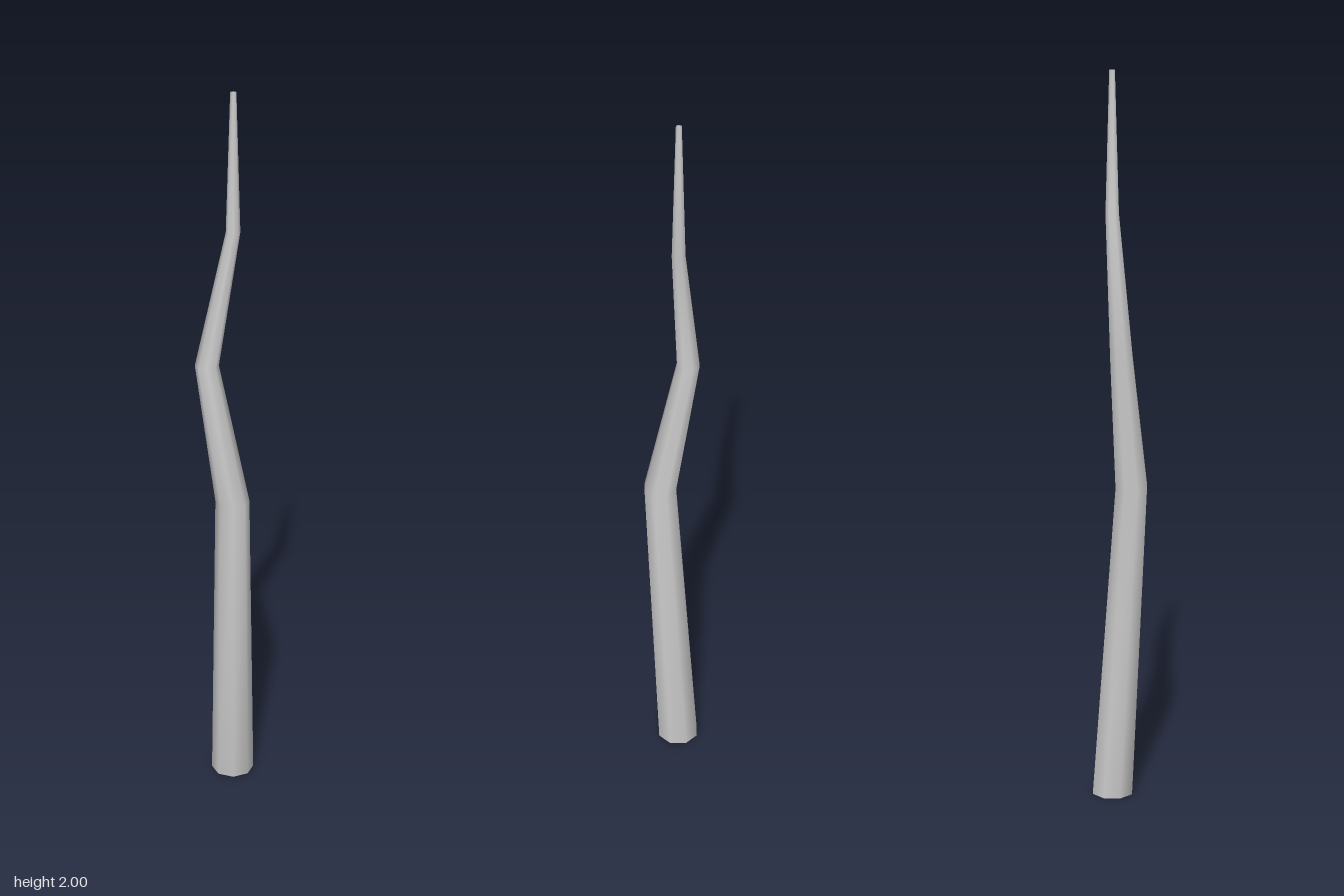
import * as THREE from 'three';

const SIDES = 8;

// Cross-sections of the crooked shaft: [x, y, z, radius]
const SECTIONS = [
  [0.021, 0, -0.021, 0.059],
  [0.018, 0.875, 0.033, 0.046],
  [-0.049, 1.25, -0.021, 0.032],
  [0.02, 1.625, -0.021, 0.019],
  [0.02, 2, -0.021, 0.008],
];

// Skins level rings into one closed, smooth-shaded surface
function loft(sections) {
  const points = [];
  const index = [];
  for (const [x, y, z, r] of sections) {
    for (let i = 0; i < SIDES; i++) {
      const a = (i / SIDES) * Math.PI * 2;
      points.push(x + r * Math.cos(a), y, z + r * Math.sin(a));
    }
  }
  const last = (sections.length - 1) * SIDES;
  const bottom = sections.length * SIDES;
  const top = bottom + 1;
  points.push(...sections[0].slice(0, 3), ...sections.at(-1).slice(0, 3));

  for (let i = 0; i < SIDES; i++) {
    const j = (i + 1) % SIDES;
    // Side walls
    for (let s = 0; s < last; s += SIDES) {
      index.push(s + i, s + SIDES + i, s + j);
      index.push(s + j, s + SIDES + i, s + SIDES + j);
    }
    // End caps
    index.push(bottom, i, j, top, last + j, last + i);
  }

  const geometry = new THREE.BufferGeometry();
  geometry.setAttribute('position', new THREE.Float32BufferAttribute(points, 3));
  geometry.setIndex(index);
  geometry.computeVertexNormals();
  return geometry;
}

export function createModel() {
  const group = new THREE.Group();
  group.name = 'crookedStick';
  const shaft = new THREE.Mesh(
    loft(SECTIONS),
    new THREE.MeshStandardMaterial({ color: 0xcccccc })
  );
  shaft.name = 'shaft';
  group.add(shaft);
  return group;
}
